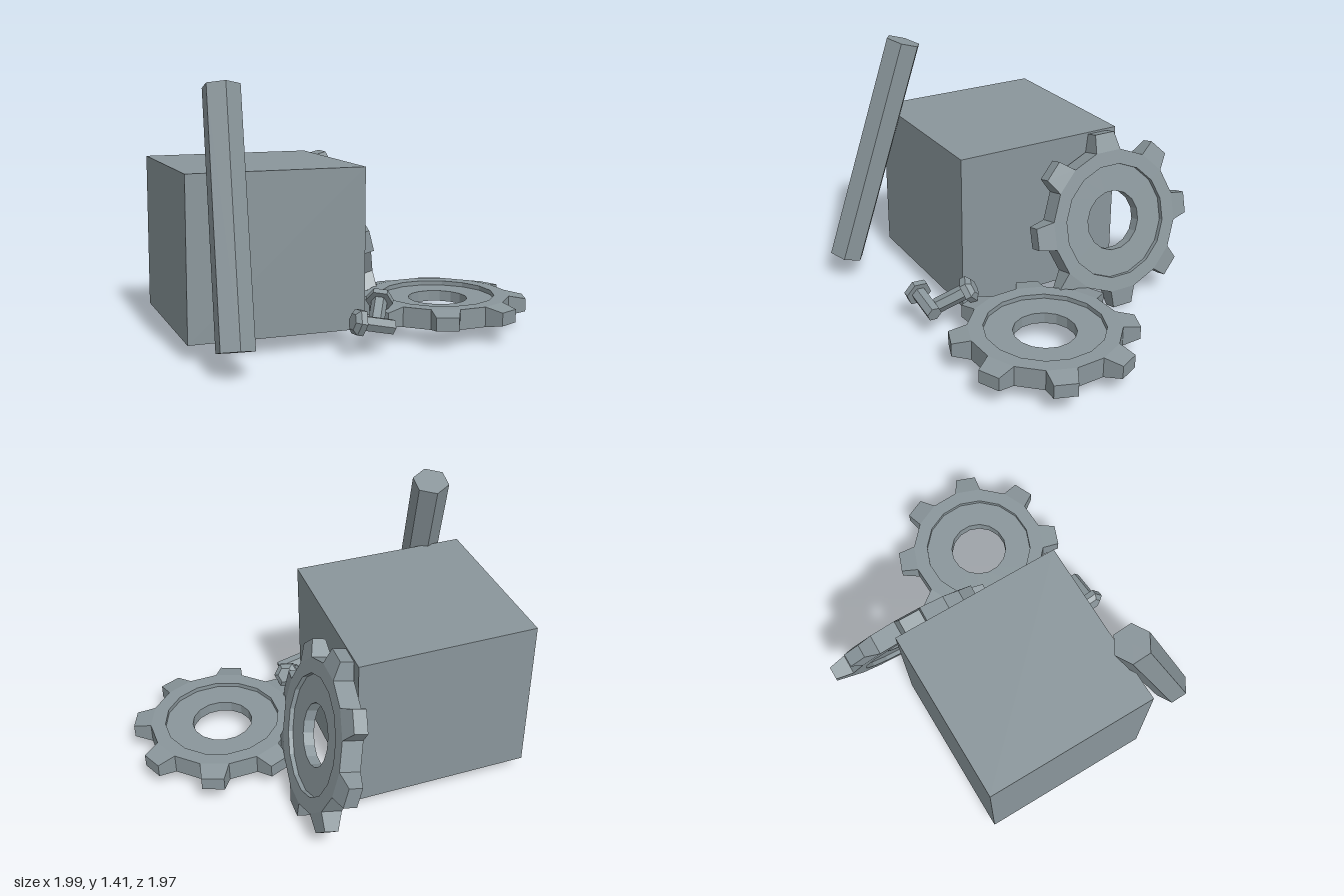
import * as THREE from 'three';

const steel = new THREE.MeshStandardMaterial({ color: 0x8a969b, flatShading: true });
steel.name = 'grey steel';

const V = (x, y, z) => new THREE.Vector3(x, y, z);
const deg = THREE.MathUtils.degToRad;

function part(name, geometry) {
  const mesh = new THREE.Mesh(geometry, steel);
  mesh.name = name;
  return mesh;
}

// Turned solid from [radius, height] points, listed counter-clockwise
function turned(points, sides, start = 0) {
  return new THREE.LatheGeometry(points.map(([r, y]) => new THREE.Vector2(r, y)), sides, start);
}

// Eight-toothed gear lying flat, first tooth along +x
function makeGear(name) {
  const gear = new THREE.Group();
  gear.name = name;
  const h = 0.055, web = 0.03, root = 0.395, tip = 0.486;
  // Ring with a recessed web on both sides and a central hole
  gear.add(part('gearBody', turned([
    [0.165, -web], [0.315, -web], [0.315, -h], [root, -h],
    [root, h], [0.315, h], [0.315, web], [0.165, web], [0.165, -web],
  ], 16, deg(11.25))));

  // Tooth narrowing in both width and thickness
  const inner = root * Math.cos(deg(11.25));
  const tooth = new THREE.BoxGeometry(1, 1, 1);
  const p = tooth.attributes.position;
  for (let i = 0; i < p.count; i++) {
    const out = p.getX(i) > 0;
    p.setXYZ(i, out ? tip : inner,
      Math.sign(p.getY(i)) * (out ? 0.036 : h),
      Math.sign(p.getZ(i)) * (out ? 0.06 : root * Math.sin(deg(11.25))));
  }
  tooth.computeVertexNormals();
  for (let i = 0; i < 8; i++) {
    const mesh = part('gearTooth', tooth);
    mesh.rotation.y = i * Math.PI / 4;
    gear.add(mesh);
  }
  return gear;
}

// Places an object made along +y so that it runs from one point towards another
function aim(object, from, to) {
  object.position.copy(from);
  object.quaternion.setFromUnitVectors(V(0, 1, 0), to.clone().sub(from).normalize());
  return object;
}

// Hex bolt with a chamfered head, from the shaft end to the head top
function makeBolt(name, end, top) {
  const len = end.distanceTo(top);
  return aim(part(name, turned([
    [0, 0], [0.042, 0], [0.042, len - 0.055], [0.073, len - 0.055],
    [0.073, len - 0.022], [0.045, len], [0, len],
  ], 6)), end, top);
}

export function createModel() {
  const model = new THREE.Group();
  model.name = 'machineParts';

  // Large block
  const block = part('block', new THREE.BoxGeometry(0.96, 0.865, 0.96));
  block.position.set(-0.328, 0.5225, 0.1375);
  block.rotation.y = -0.64;
  model.add(block);

  // Hexagonal bar leaning on the block
  const low = V(0.135, 0.135, 0.89), high = V(-0.147, 1.38, 0.617);
  const len = low.distanceTo(high);
  model.add(aim(part('hexBar', turned(
    [[0, 0], [0.1, 0], [0.1, len], [0, len]], 6, deg(52))), low, high));

  // Gear lying flat
  const flat = makeGear('flatGear');
  flat.position.set(0.505, 0.145, -0.495);
  flat.rotation.y = deg(33);
  model.add(flat);

  // Gear leaning against the back of the block, one tooth pointing up
  const leaning = makeGear('leaningGear');
  const axis = V(0.585, 0.25, -0.772).normalize();
  const up = V(0, 1, 0).addScaledVector(axis, -axis.y).normalize();
  leaning.quaternion.setFromRotationMatrix(
    new THREE.Matrix4().makeBasis(up, axis, up.clone().cross(axis)));
  leaning.position.set(-0.235, 0.483, -0.588);
  model.add(leaning);

  // Two loose bolts
  model.add(makeBolt('backBolt', V(0.465, 0.145, 0.135), V(0.387, 0.262, -0.05)));
  model.add(makeBolt('frontBolt', V(0.55, 0.145, 0.107), V(0.42, 0.195, 0.292)));

  return model;
}
